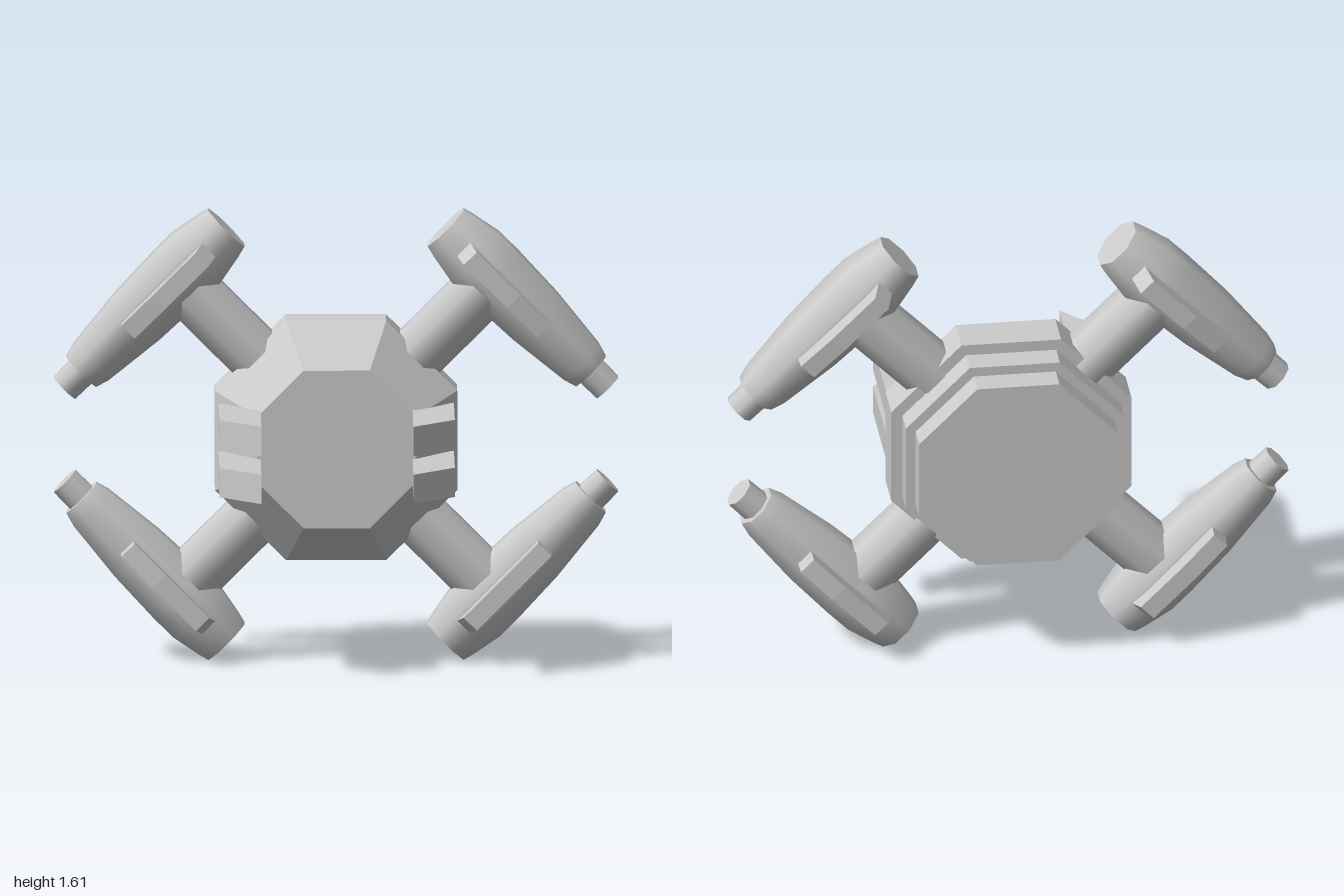
import * as THREE from 'three';

const mat = new THREE.MeshStandardMaterial({ color: 0xcccccc });
const flatMat = new THREE.MeshStandardMaterial({ color: 0xcccccc, flatShading: true });
const BODY_Y = 0.797, POD_Y = 0.81, POD_Z = -0.19, POD_DIST = 0.8;
const CORNER = 1 / Math.cos(Math.PI / 8); // apothem to corner radius of an octagon

function add(parent, name, geometry, material = mat) {
  const mesh = new THREE.Mesh(geometry, material);
  mesh.name = name;
  parent.add(mesh);
  return mesh;
}

// Octagonal frustum along z, sized by its apothems
function octagon(parent, name, front, back, zFront, zBack) {
  const g = new THREE.CylinderGeometry(front * CORNER, back * CORNER, zFront - zBack, 8);
  g.rotateY(Math.PI / 8).rotateX(Math.PI / 2);
  add(parent, name, g, flatMat).position.set(0, BODY_Y, (zFront + zBack) / 2);
}

// Eight-sided tapered tube along y, smooth around and sharp at the caps
function tube(parent, name, rTop, rBottom, y0, y1, open = false) {
  const g = new THREE.CylinderGeometry(rTop * CORNER, rBottom * CORNER, y1 - y0, 8, 1, open);
  g.rotateY(Math.PI / 8).translate(0, (y0 + y1) / 2, 0);
  return add(parent, name, g);
}

// Plate that crosses the pod and stands out at its front and back
function finGeometry() {
  const half = [[0.1, 0.163], [0.183, 0.128], [0.183, -0.09], [0.168, -0.246], [0.09, -0.25]];
  const mirrored = half.map(([u, v]) => [-u, v]).reverse();
  const shape = new THREE.Shape([...half, ...mirrored].map(([u, v]) => new THREE.Vector2(u, v)));
  const g = new THREE.ExtrudeGeometry(shape, { depth: 0.066, bevelEnabled: false });
  return g.translate(0, 0, -0.033).rotateY(Math.PI / 2);
}

// Pod along y: thick end up, narrow nozzle down
function makePod() {
  const pod = new THREE.Group();
  pod.name = 'pod';
  const profile = [[0, -0.48], [0.074, -0.48], [0.074, -0.48], [0.088, -0.43], [0.112, -0.2],
    [0.12, 0], [0.12, 0.1], [0.1, 0.21], [0.09, 0.25], [0.09, 0.25], [0, 0.25]];
  const hull = new THREE.LatheGeometry(
    profile.slice(2, 9).map(([r, t]) => new THREE.Vector2(r * CORNER, t)), 8, Math.PI / 8);
  add(pod, 'podHull', hull);
  // flat caps of the hull
  for (const [r, t, turn] of [[0.09, 0.25, -1], [0.074, -0.48, 1]]) {
    const cap = new THREE.CircleGeometry(r * CORNER, 8, Math.PI / 8);
    cap.rotateX(turn * Math.PI / 2).translate(0, t, 0);
    add(pod, 'podCap', cap);
  }
  tube(pod, 'podNozzle', 0.056, 0.053, -0.564, -0.45);
  add(pod, 'podFin', finGeometry(), flatMat);
  return pod;
}

// Pointed bar reaching forward, its tip on the inner side
function makeProng(side) {
  const pts = [[0.27, -0.09], [0.418, -0.09], [0.418, 0.31], [0.27, 0.474]];
  const shape = new THREE.Shape(pts.map(([x, z]) => new THREE.Vector2(side * x, -z)));
  const g = new THREE.ExtrudeGeometry(shape, { depth: 0.105, bevelEnabled: false });
  return g.translate(0, 0, -0.0525).rotateX(-Math.PI / 2);
}

export function createModel() {
  const model = new THREE.Group();
  model.name = 'pincerCraft';

  // Body: bevelled front, full ring and two stepped rear plates
  octagon(model, 'bodyFront', 0.283, 0.43, 0.095, -0.125);
  octagon(model, 'bodyRing', 0.43, 0.43, -0.125, -0.28);
  octagon(model, 'rearPlate', 0.39, 0.39, -0.28, -0.377);
  octagon(model, 'rearPlateSmall', 0.355, 0.355, -0.377, -0.474);

  // Two prongs on each side
  for (const side of [-1, 1]) {
    for (const level of [-1, 1]) {
      add(model, side > 0 ? 'leftProng' : 'rightProng', makeProng(side), flatMat)
        .position.y = BODY_Y + level * 0.086;
    }
  }

  // Four diagonal arms, each with a pod set across its end
  for (let i = 0; i < 4; i++) {
    const limb = new THREE.Group();
    limb.name = 'limb';
    limb.position.set(0, POD_Y, POD_Z);
    limb.rotation.z = Math.PI / 4 + i * Math.PI / 2;
    tube(limb, 'arm', 0.1, 0.1, 0.34, POD_DIST - 0.03);
    const pod = makePod();
    pod.position.y = POD_DIST;
    pod.rotation.z = (i % 2 ? 1 : -1) * Math.PI / 2;
    limb.add(pod);
    model.add(limb);
  }
  return model;
}
